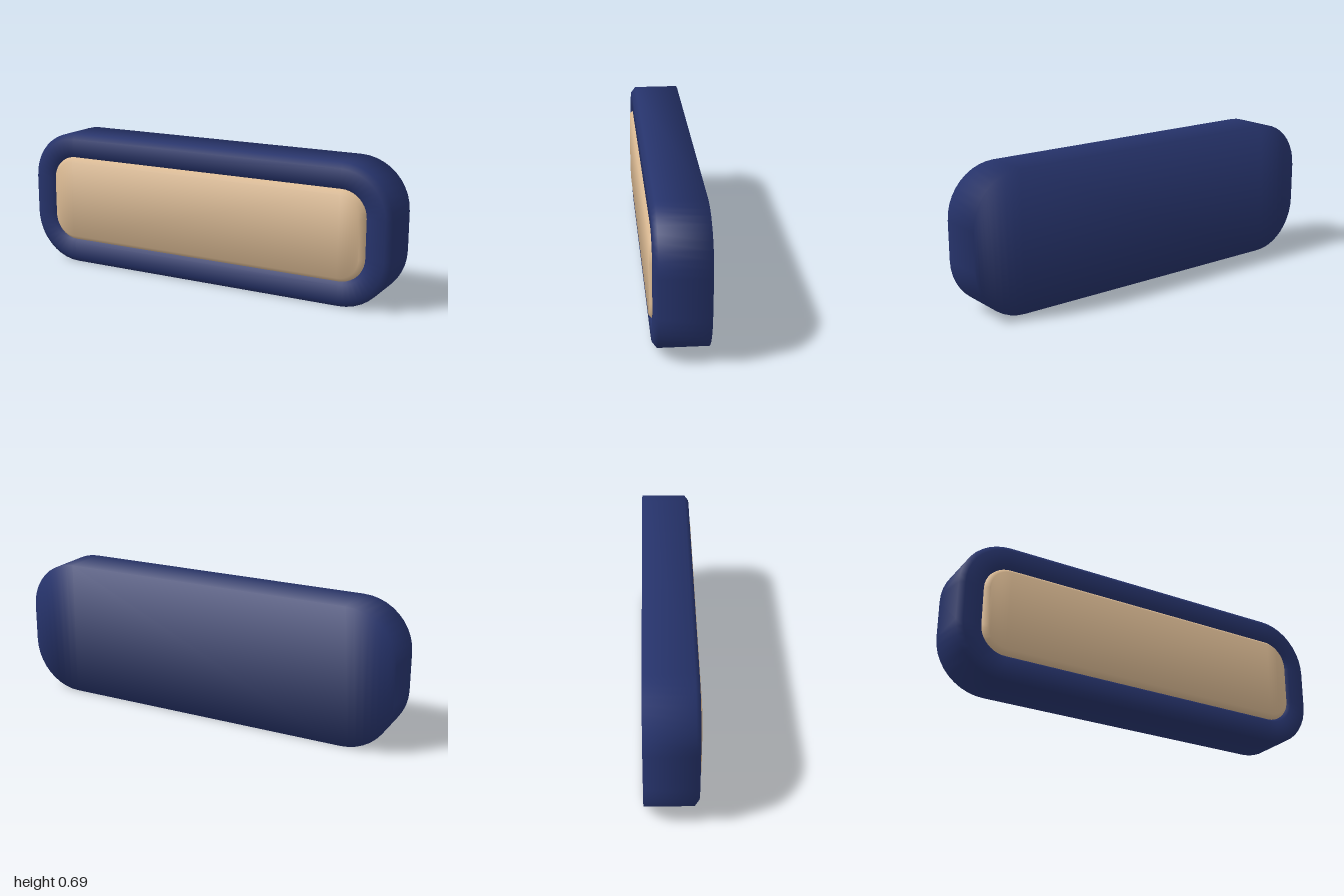
import * as THREE from 'three';

const HALF_W = 1, HALF_H = 0.345, RADIUS = 0.25, STEPS = 10;

// Outline of the rounded rectangle, counterclockwise from the right side:
// corner centre plus outward direction, so it can be inset evenly
function outline() {
  const pts = [];
  for (let k = 0; k < 4; k++) {
    const cx = (k === 0 || k === 3 ? 1 : -1) * (HALF_W - RADIUS);
    const cy = (k < 2 ? 1 : -1) * (HALF_H - RADIUS);
    for (let s = 0; s <= STEPS; s++) {
      const a = (k + s / STEPS) * Math.PI / 2;
      pts.push({ cx, cy, dx: Math.cos(a), dy: Math.sin(a) });
    }
  }
  return pts;
}

// Sweep a profile of [inset, z] points around the outline, with softened edges
function sweep(profile, backCap, frontCap) {
  const pts = outline(), n = pts.length, pos = [], nor = [], idx = [];
  const segs = [];
  if (backCap) segs.push([0, -1]);
  for (let r = 0; r < profile.length - 1; r++) {
    const di = profile[r + 1][0] - profile[r][0], dz = profile[r + 1][1] - profile[r][1];
    const l = Math.hypot(di, dz);
    segs.push([dz / l, di / l]);
  }
  if (!backCap) segs.unshift(segs[0]);
  segs.push(frontCap ? [0, 1] : segs[segs.length - 1]);

  profile.forEach(([inset, z], r) => {
    const u = segs[r][0] + segs[r + 1][0], w = segs[r][1] + segs[r + 1][1];
    const l = Math.hypot(u, w);
    for (const p of pts) {
      pos.push(p.cx + p.dx * (RADIUS - inset), HALF_H + p.cy + p.dy * (RADIUS - inset), z);
      nor.push(p.dx * u / l, p.dy * u / l, w / l);
    }
  });
  for (let r = 0; r < profile.length - 1; r++) {
    for (let j = 0; j < n; j++) {
      const a = r * n + j, b = r * n + (j + 1) % n;
      idx.push(a, b, b + n, a, b + n, a + n);
    }
  }
  // Caps are vertical strips joining upper and lower outline points
  const top = (profile.length - 1) * n;
  for (let i = 0; i < n / 2 - 1; i++) {
    const a = i, b = i + 1, c = n - 2 - i, d = n - 1 - i;
    if (backCap) idx.push(a, c, b, a, d, c);
    if (frontCap) idx.push(top + a, top + b, top + c, top + a, top + c, top + d);
  }
  const g = new THREE.BufferGeometry();
  g.setAttribute('position', new THREE.Float32BufferAttribute(pos, 3));
  g.setAttribute('normal', new THREE.Float32BufferAttribute(nor, 3));
  g.setIndex(idx);
  return g;
}

export function createModel() {
  const navy = new THREE.MeshStandardMaterial({ color: 0x26336b });
  navy.name = 'navy';
  const tan = new THREE.MeshStandardMaterial({ color: 0xdcbb94 });
  tan.name = 'tan';

  const group = new THREE.Group();
  group.name = 'framedPanel';

  // Casing: flat back, chamfered front rim, groove around the panel
  const casing = new THREE.Mesh(sweep([
    [0, -0.13], [0, 0.1], [0.027, 0.121], [0.107, 0.121], [0.126, 0.1],
  ], true, false), navy);
  casing.name = 'casing';

  // Panel: slightly raised with a bevelled edge
  const panel = new THREE.Mesh(sweep([
    [0.123, 0.1], [0.125, 0.11], [0.146, 0.131],
  ], false, true), tan);
  panel.name = 'frontPanel';

  group.add(casing, panel);
  return group;
}
